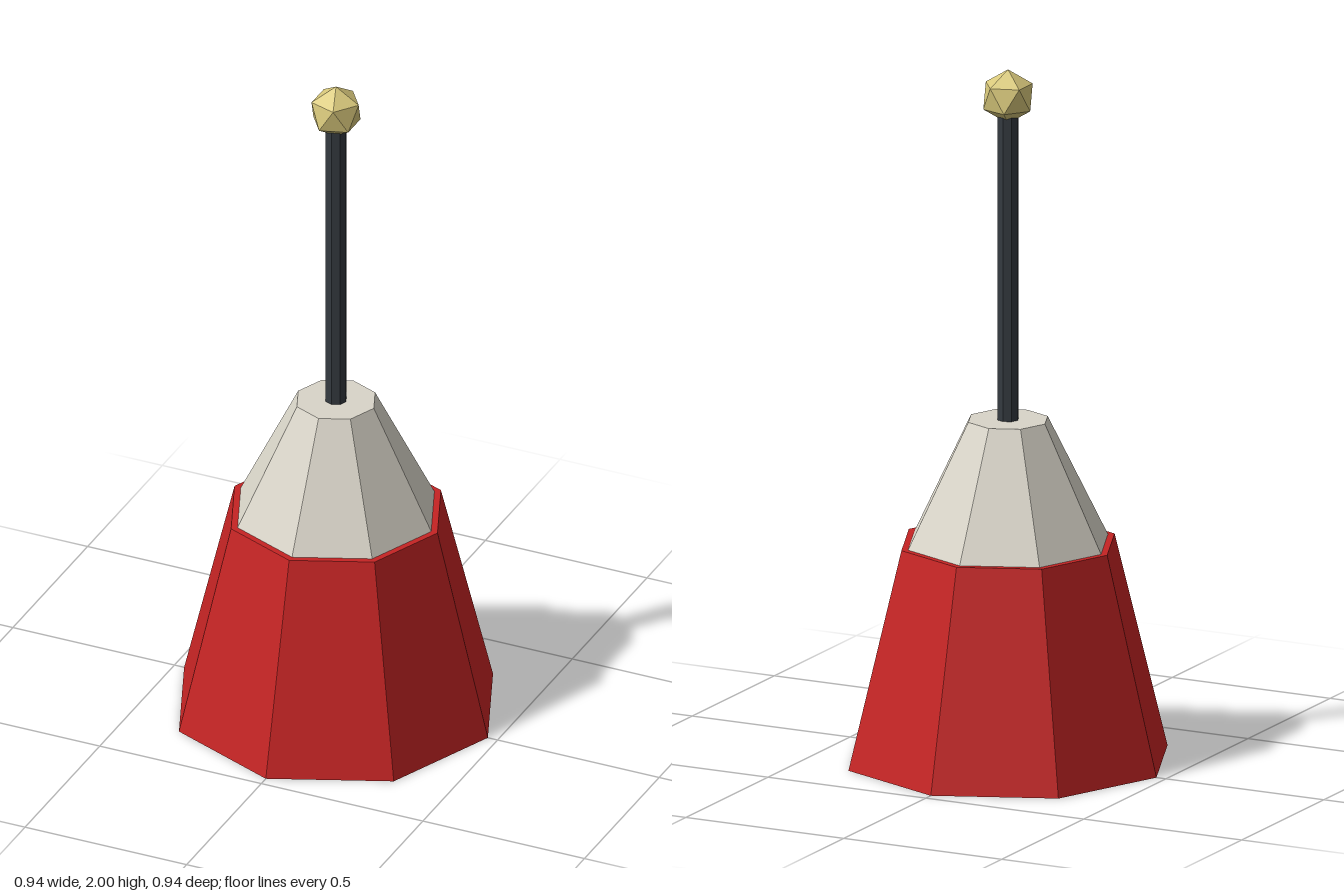
import * as THREE from 'three';

const flat = (name, color) => {
  const m = new THREE.MeshStandardMaterial({ color, flatShading: true });
  m.name = name;
  return m;
};

export function createModel() {
  const red = flat('red paint', 0xc62424);
  const pale = flat('pale grey paint', 0xd9d5c9);
  const dark = flat('dark metal', 0x343a40);
  const brass = flat('brass yellow', 0xd9c97c);

  const group = new THREE.Group();
  group.name = 'buoy';

  // Octagonal tapered section standing between two heights
  const section = (name, material, rBottom, rTop, y0, y1) => {
    const geometry = new THREE.CylinderGeometry(rTop, rBottom, y1 - y0, 8);
    geometry.translate(0, (y0 + y1) / 2, 0);
    const mesh = new THREE.Mesh(geometry, material);
    mesh.name = name;
    group.add(mesh);
  };

  section('floatBody', red, 0.47, 0.314, 0, 0.627);
  section('upperCone', pale, 0.313, 0.117, 0.59, 0.984);
  section('mast', dark, 0.031, 0.031, 0.95, 1.9);

  // Faceted lamp, turned so that one corner points straight up
  const lampRadius = 0.0784;
  const lampGeometry = new THREE.IcosahedronGeometry(lampRadius, 0);
  lampGeometry.rotateZ(-Math.atan(2 / (1 + Math.sqrt(5))));
  const lamp = new THREE.Mesh(lampGeometry, brass);
  lamp.name = 'lamp';
  lamp.position.y = 2 - lampRadius;
  group.add(lamp);

  return group;
}
